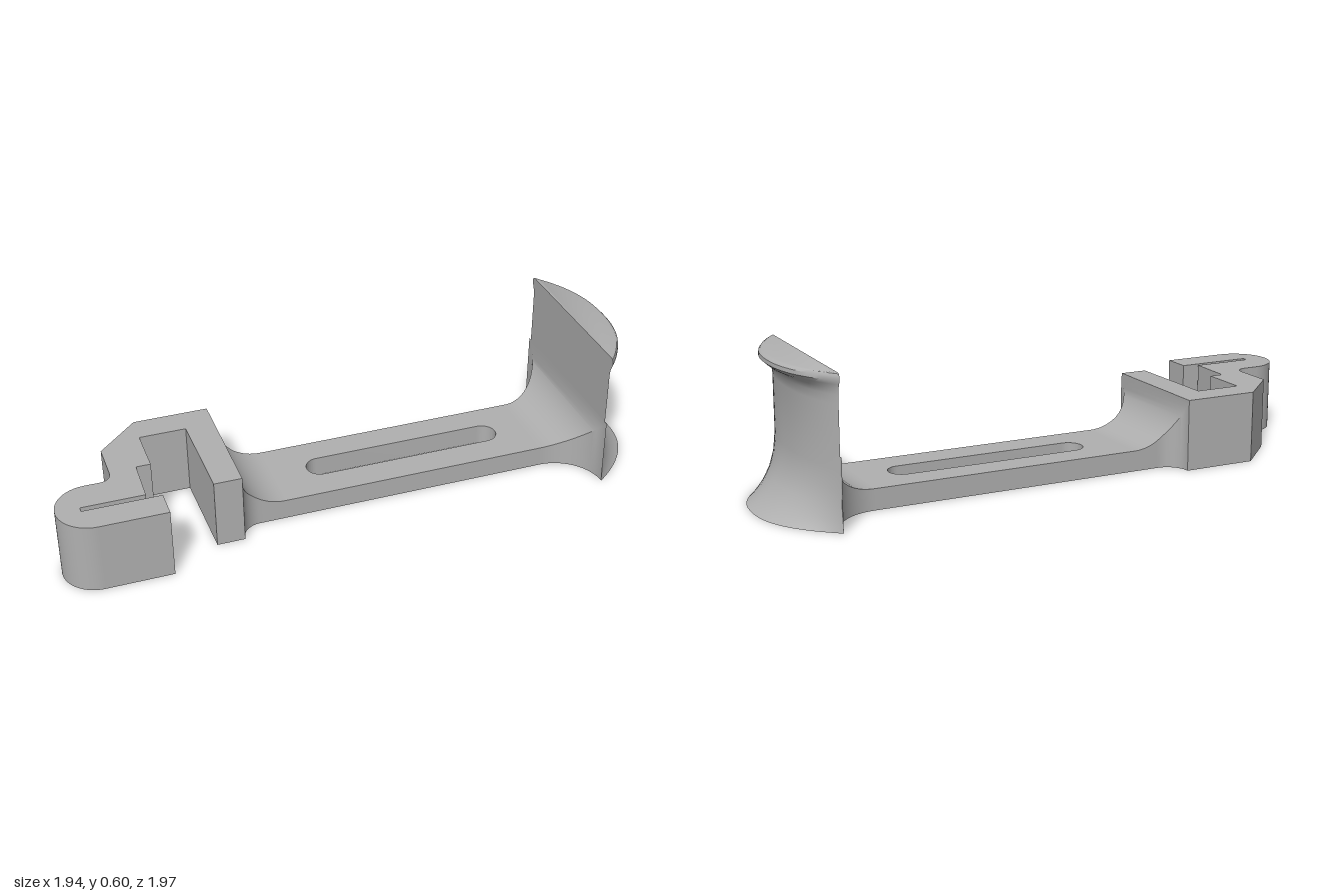
import * as THREE from 'three';
import { toCreasedNormals } from 'three/addons/utils/BufferGeometryUtils.js';

const MID = -0.108;      // centre line of the arm
const ARM_W = 0.186;     // half width of the arm
const ARM_H = 0.087;     // thickness of the arm
const WALL_A = -0.578;   // clamp face
const WALL_B = 0.97;     // head face
const FILLET = 0.2;

const grey = new THREE.MeshStandardMaterial({ color: 0xb0b0b0 });
grey.name = 'grey plastic';

function part(name, geometry) {
  const mesh = new THREE.Mesh(toCreasedNormals(geometry, 0.55), grey);
  mesh.name = name;
  return mesh;
}

// Plan outline (along, across) pulled straight up from the ground
function slab(shape, height) {
  return new THREE.ExtrudeGeometry(shape, { depth: height, bevelEnabled: false, curveSegments: 20 })
    .rotateX(Math.PI / 2).translate(0, height, 0);
}

// Skin over closed rings of equal length, with flat caps
function loft(rings) {
  const n = rings[0].length, index = [];
  for (let r = 0; r < rings.length - 1; r++) {
    for (let i = 0; i < n; i++) {
      const a = r * n + i, b = r * n + (i + 1) % n;
      index.push(a, b, b + n, a, b + n, a + n);
    }
  }
  const last = (rings.length - 1) * n;
  for (let i = 1; i < n - 1; i++) {
    index.push(0, i + 1, i, last, last + i, last + i + 1);
  }
  const g = new THREE.BufferGeometry();
  g.setAttribute('position', new THREE.Float32BufferAttribute(rings.flat(2), 3));
  g.setIndex(index);
  return g;
}

// Arm end that sweeps up and outwards into a wall; dir points away from the wall
function armEnd(wall, dir, flare) {
  const rise = (r, e) => (e < r ? r - Math.sqrt(Math.max(0, r * r - (r - e) ** 2)) : 0);
  const rings = [];
  for (let i = 0; i <= 20; i++) {
    const e = FILLET * (1 - Math.cos(i / 20 * Math.PI / 2));
    const u = wall + dir * e;
    const h = ARM_H + rise(FILLET, e), w = ARM_W + rise(flare, e);
    rings.push([[u, h, MID - w], [u, h, MID + w], [u, 0, MID + w], [u, 0, MID - w]]);
  }
  if (dir < 0) rings.reverse();
  return loft(rings);
}

// Flat middle of the arm with its long slot
function armMiddle() {
  const a = WALL_A + FILLET, b = WALL_B - FILLET;
  const s = new THREE.Shape();
  s.moveTo(a, MID - ARM_W);
  s.lineTo(b, MID - ARM_W);
  s.lineTo(b, MID + ARM_W);
  s.lineTo(a, MID + ARM_W);
  s.closePath();
  const slot = new THREE.Path();
  slot.absarc(0.58, MID - 0.004, 0.06, -Math.PI / 2, Math.PI / 2, false);
  slot.absarc(-0.166, MID - 0.004, 0.06, Math.PI / 2, Math.PI * 1.5, false);
  slot.closePath();
  s.holes.push(slot);
  return slab(s, ARM_H);
}

// Angular clamp with a round-ended, slitted hook
function clamp() {
  const s = new THREE.Shape();
  s.moveTo(WALL_A, -0.386);
  s.lineTo(-0.893, -0.386);
  s.lineTo(-1.066, -0.217);
  s.lineTo(-1.066, -0.055);
  s.quadraticCurveTo(-1.066, 0, -1.121, 0);
  s.lineTo(-1.177, 0);
  s.absarc(-1.177, 0.143, 0.143, -Math.PI / 2, Math.PI / 2, true);
  for (const [u, v] of [
    [-0.9, 0.286], [-0.9, 0.165], [-1.222, 0.165], [-1.222, 0.141], [-0.962, 0.141],
    [-0.956, -0.059], [-0.896, -0.059], [-0.896, -0.264], [-0.7, -0.264],
    [-0.695, 0.161], [WALL_A, 0.161],
  ]) s.lineTo(u, v);
  s.closePath();
  return slab(s, 0.3);
}

// Upright head: flat in front, bowed and waisted behind; rows are height, bulge, half width
function head() {
  const profile = [
    [0, 0.228, 0.386], [0.015, 0.205, 0.383], [0.05, 0.165, 0.378], [0.1, 0.125, 0.373],
    [0.16, 0.095, 0.37], [0.24, 0.08, 0.368], [0.48, 0.08, 0.368], [0.515, 0.087, 0.368],
    [0.54, 0.104, 0.371], [0.557, 0.132, 0.379], [0.572, 0.148, 0.386],
    [0.588, 0.147, 0.385], [0.597, 0.138, 0.38], [0.6, 0.128, 0.373],
  ];
  const n = 36;
  return loft(profile.map(([y, bulge, w]) => {
    const ring = [];
    for (let i = 0; i <= n; i++) {
      const t = Math.cos(i / n * Math.PI);
      ring.push([WALL_B + bulge * (1 - Math.abs(t) ** 2.3), y, MID + w * t]);
    }
    return ring;
  }));
}

export function createModel() {
  const group = new THREE.Group();
  group.name = 'clampBracket';
  const body = new THREE.Group();
  body.name = 'body';
  body.add(
    part('clamp', clamp()),
    part('armClampEnd', armEnd(WALL_A, 1, 0.087)),
    part('arm', armMiddle()),
    part('armHeadEnd', armEnd(WALL_B, -1, 0.198)),
    part('head', head()),
  );
  body.rotation.y = 0.669; // lies diagonally on the ground
  group.add(body);
  return group;
}
